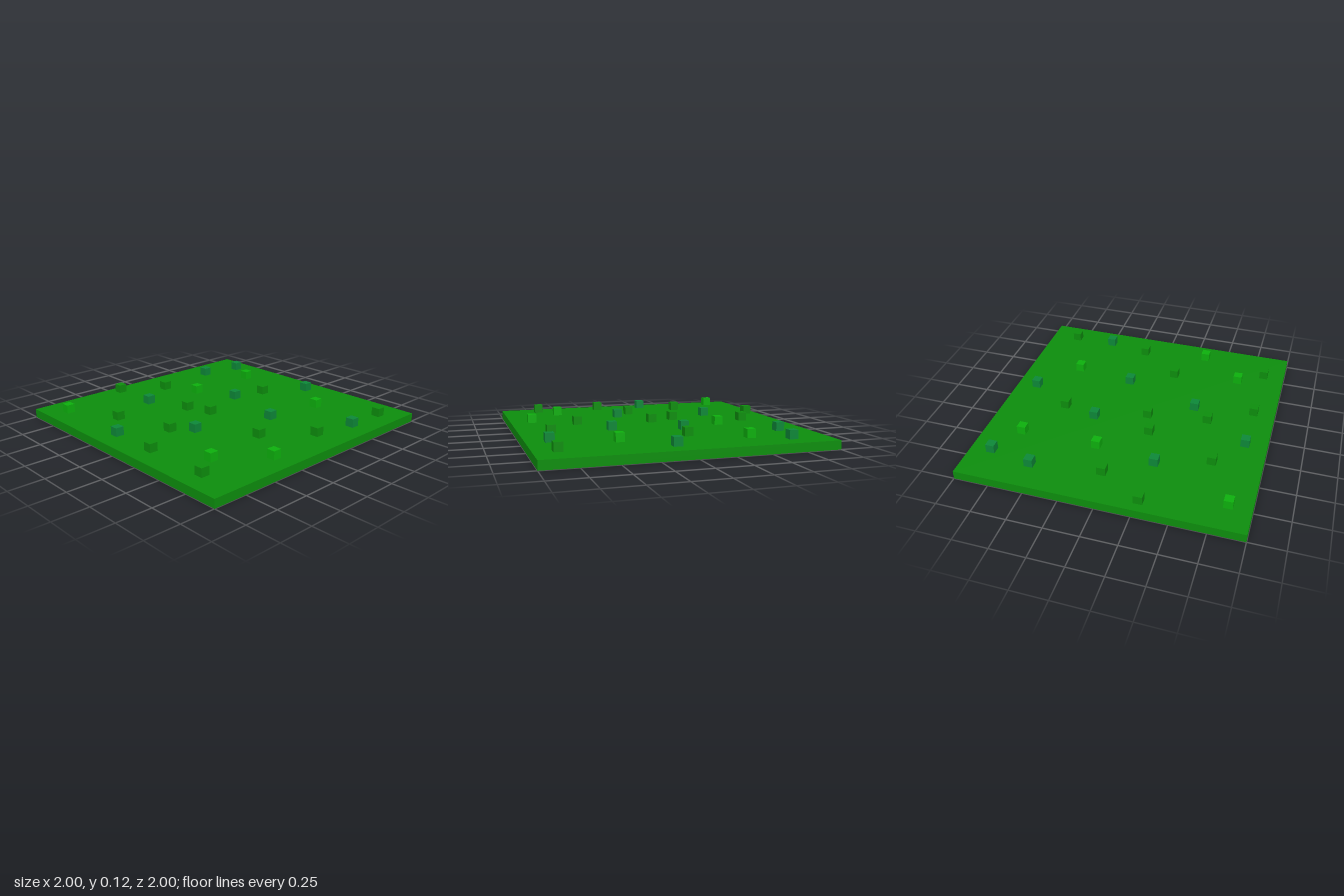
import * as THREE from 'three';

// The plate is a 32 x 32 grid; every tuft fills one cell.
const CELL = 2 / 32;
const cellCentre = (i) => (i + 0.5) * CELL - 1;

const material = (name, color) => {
  const m = new THREE.MeshStandardMaterial({ color });
  m.name = name;
  return m;
};

export function createModel() {
  const model = new THREE.Group();
  model.name = 'grassTile';

  const grass = material('grass green', 0x0d8e0d);
  const bright = material('bright green', 0x0db00d);
  const teal = material('teal green', 0x0d8838);

  // Ground plate
  const ground = new THREE.Mesh(new THREE.BoxGeometry(2, CELL, 2), grass);
  ground.name = 'ground';
  ground.position.y = CELL / 2;
  model.add(ground);

  // Tufts as [column, row] cells, counted from the back left corner of the grid
  const tufts = [
    ['grassTuft', grass, [[11, 1], [16, 4], [5, 9], [13, 12], [14, 15], [24, 14],
      [7, 16], [2, 19], [13, 24], [2, 27], [18, 28], [28, 29]]],
    ['brightTuft', bright, [[2, 3], [18, 8], [27, 8], [25, 22], [5, 25], [10, 29]]],
    ['tealTuft', teal, [[24, 3], [29, 4], [11, 7], [2, 13], [20, 13], [29, 17],
      [9, 18], [18, 21], [23, 29]]],
  ];
  const cube = new THREE.BoxGeometry(CELL, CELL, CELL);
  for (const [name, mat, cells] of tufts) {
    const group = new THREE.Group();
    group.name = name + 's';
    for (const [column, row] of cells) {
      const tuft = new THREE.Mesh(cube, mat);
      tuft.name = name;
      tuft.position.set(cellCentre(column), CELL * 1.5, cellCentre(row));
      group.add(tuft);
    }
    model.add(group);
  }
  return model;
}
